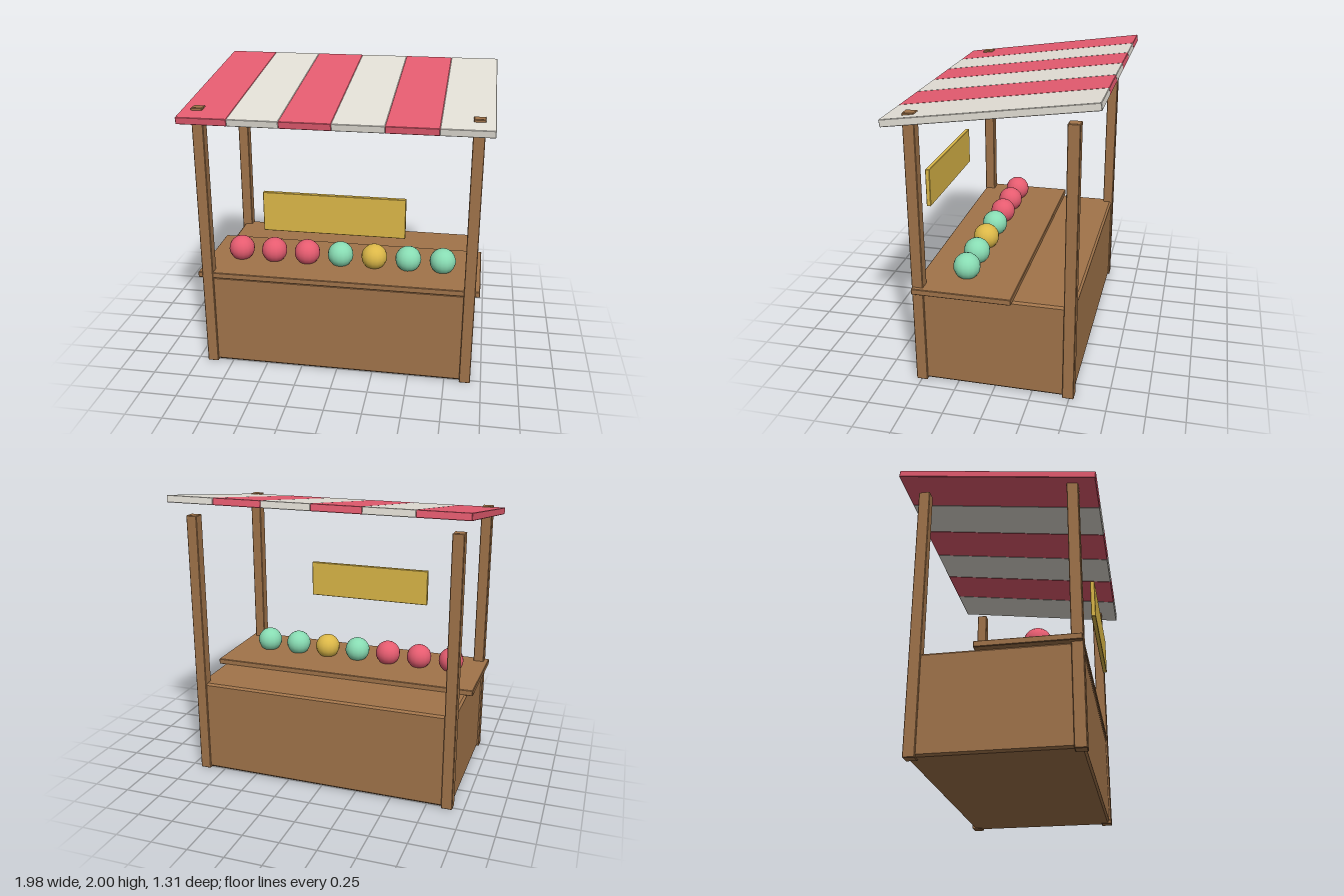
import * as THREE from 'three';
import { ConvexGeometry } from 'three/addons/geometries/ConvexGeometry.js';

const material = (name, color) => {
  const m = new THREE.MeshStandardMaterial({ color });
  m.name = name;
  return m;
};

// Box with flat chamfers of width b on every edge
function chamferBox(w, h, d, b) {
  const points = [];
  for (const sx of [-1, 1]) for (const sy of [-1, 1]) for (const sz of [-1, 1]) {
    for (let face = 0; face < 3; face++) {
      points.push(new THREE.Vector3(
        sx * (w / 2 - (face === 0 ? 0 : b)),
        sy * (h / 2 - (face === 1 ? 0 : b)),
        sz * (d / 2 - (face === 2 ? 0 : b))
      ));
    }
  }
  return new ConvexGeometry(points);
}

export function createModel() {
  const wood = material('wood', 0xa1744a);
  const red = material('red', 0xe65c70);
  const cream = material('cream', 0xe4e0d7);
  const gold = material('gold', 0xdcb848);
  const green = material('green', 0x88dcb3);

  const stall = new THREE.Group();
  stall.name = 'marketStall';

  const add = (parent, name, geometry, mat, x, y, z) => {
    const mesh = new THREE.Mesh(geometry, mat);
    mesh.name = name;
    mesh.position.set(x, y, z);
    parent.add(mesh);
    return mesh;
  };

  // Closed lower body and the serving counter on top of it
  add(stall, 'body', chamferBox(1.83, 0.653, 1.04, 0.014), wood, 0, 0.3335, 0);
  add(stall, 'counter', chamferBox(1.916, 0.04, 0.656, 0.004), wood, 0, 0.675, 0.203);

  // Four corner posts; the front pair pokes through the awning
  const postGeometry = chamferBox(0.075, 1.85, 0.075, 0.004);
  for (const x of [-0.891, 0.891]) {
    add(stall, 'frontPost', postGeometry, wood, x, 0.925, 0.497);
    add(stall, 'backPost', postGeometry, wood, x, 0.925, -0.493);
  }

  // Striped awning sloping down to the front
  const awning = new THREE.Group();
  awning.name = 'awning';
  awning.position.set(0, 1.885, 0);
  awning.rotation.x = THREE.MathUtils.degToRad(8);
  const stripeGeometry = chamferBox(0.33, 0.047, 1.32, 0.003);
  for (let i = 0; i < 6; i++) {
    add(awning, 'awningStripe', stripeGeometry, i % 2 ? cream : red, (i - 2.5) * 0.33, 0, 0);
  }
  stall.add(awning);

  // Blank sign board in front of the posts
  add(stall, 'signBoard', chamferBox(0.926, 0.264, 0.03, 0.003), gold, 0, 1.192, 0.564);

  // Row of fruit on the counter
  const fruitGeometry = new THREE.SphereGeometry(0.09, 16, 12);
  [red, red, red, green, gold, green, green].forEach((mat, i) => {
    add(stall, 'fruit', fruitGeometry, mat, -0.729 + i * 0.2375, 0.764, 0.233);
  });

  return stall;
}
